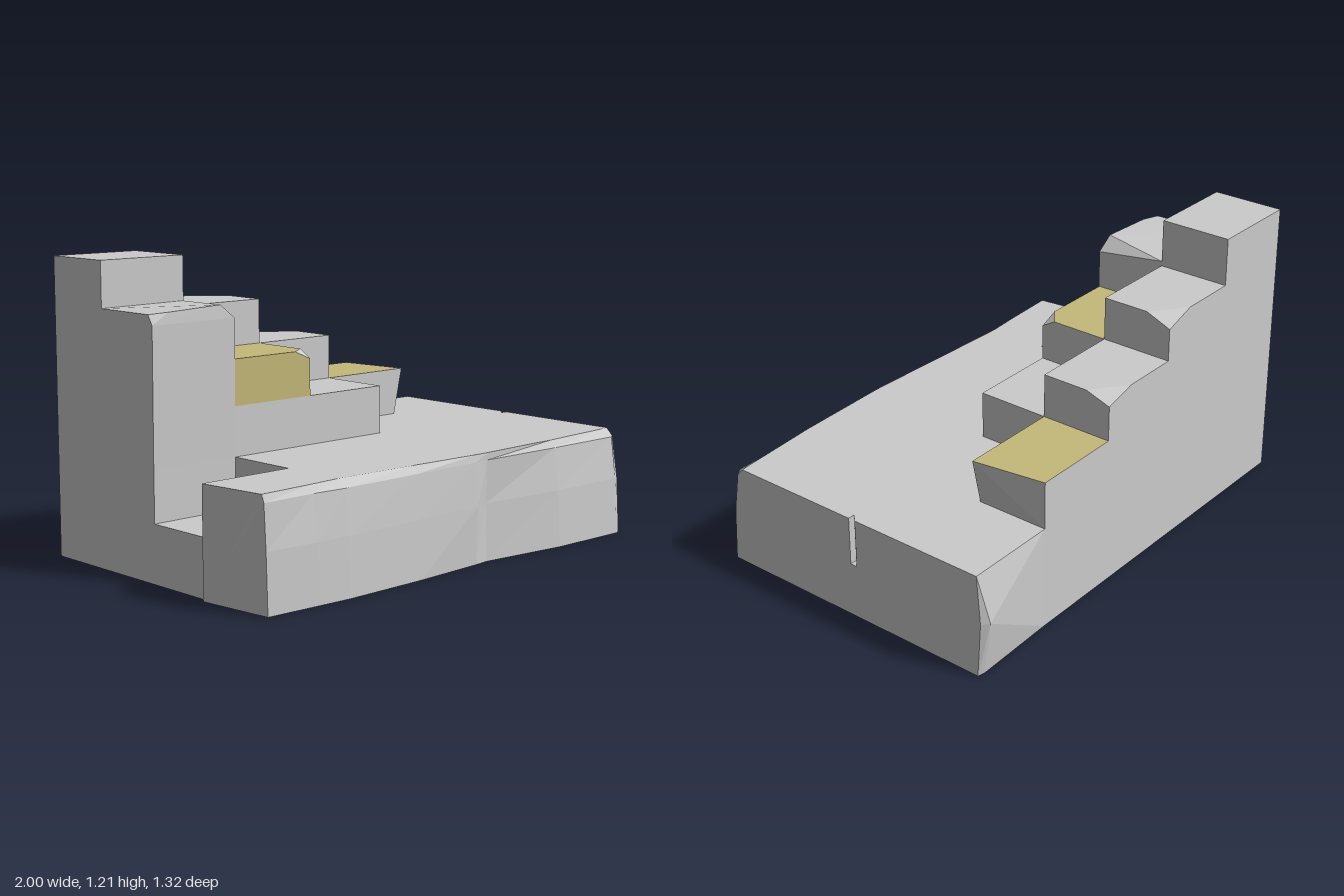
import * as THREE from 'three';
import { ConvexGeometry } from 'three/addons/geometries/ConvexGeometry.js';

const grey = new THREE.MeshStandardMaterial({ color: 0xcccccc, flatShading: true });
const yellow = new THREE.MeshStandardMaterial({ color: 0xc4b878, flatShading: true });
const V = (x, y, z) => new THREE.Vector3(x, y, z);

// Convex rock from points; faces whose normal passes the test are yellow
function rock(name, points, isYellow) {
  const geo = new ConvexGeometry(points);
  if (!isYellow) {
    const plain = new THREE.Mesh(geo, grey);
    plain.name = name;
    return plain;
  }
  const n = geo.attributes.normal;
  for (let i = 0; i < n.count; i += 3) {
    geo.addGroup(i, 3, isYellow(V(n.getX(i), n.getY(i), n.getZ(i))) ? 1 : 0);
  }
  const mesh = new THREE.Mesh(geo, [grey, yellow]);
  mesh.name = name;
  return mesh;
}

// Corners of a block; each cut { sx, sz, d } chips one top corner by d = [x, y, z]
function corners(x0, x1, y0, y1, z0, z1, cuts = []) {
  const pts = [];
  for (const sx of [-1, 1]) for (const sz of [-1, 1]) {
    const x = sx < 0 ? x0 : x1, z = sz < 0 ? z0 : z1;
    pts.push(V(x, y0, z));
    const cut = cuts.find((c) => c.sx === sx && c.sz === sz);
    if (cut) {
      const [dx, dy, dz] = cut.d;
      pts.push(V(x - sx * dx, y1, z), V(x, y1 - dy, z), V(x, y1, z - sz * dz));
    } else pts.push(V(x, y1, z));
  }
  return pts;
}

// Uneven front apron, lofted through cross-sections along x
function frontApron() {
  // x, then z at: bottom, middle, shoulder, top edge
  const columns = [
    [-0.965, 0.63, 0.622, 0.612, 0.60],
    [-0.73, 0.643, 0.635, 0.612, 0.59],
    [-0.58, 0.65, 0.64, 0.622, 0.58],
    [-0.2, 0.642, 0.632, 0.618, 0.595],
    [0.13, 0.622, 0.628, 0.616, 0.61],
    [0.2, 0.614, 0.605, 0.61, 0.61],
    [0.6, 0.655, 0.642, 0.62, 0.60],
    [0.97, 0.658, 0.645, 0.62, 0.575],
    [1, 0.645, 0.63, 0.60, 0.57],
  ];
  const back = 0.31;
  const loops = columns.map(([x, a, b, c, d], k) => {
    const bx = k === 0 ? -1 : x;
    return [V(bx, 0, back), V(x, 0, a), V(x, 0.235, b), V(x, 0.41, c), V(x, 0.44, d), V(bx, 0.44, back)];
  });
  // The strip behind the notch ends squarely at x = -0.58
  const pts = [], n = loops[0].length;
  for (let k = 0; k < loops.length - 1; k++) {
    for (let i = 0; i < n; i++) {
      const j = (i + 1) % n, A = loops[k], B = loops[k + 1];
      pts.push(A[i], B[i], B[j], A[i], B[j], A[j]);
    }
  }
  const first = loops[0], last = loops[loops.length - 1];
  for (let i = 1; i < n - 1; i++) {
    pts.push(first[0], first[i], first[i + 1], last[0], last[i + 1], last[i]);
  }
  const geo = new THREE.BufferGeometry().setFromPoints(pts);
  geo.computeVertexNormals();
  const mesh = new THREE.Mesh(geo, grey);
  mesh.name = 'frontApron';
  return mesh;
}

export function createModel() {
  const model = new THREE.Group();
  model.name = 'steppedRock';

  // Grid lines shared by the stepped blocks
  const X = [-0.98, -0.583, -0.188, 0.205, 0.6];
  const back = -0.623, mid = -0.312, base = 0.44, ledge = 0.235;

  // Base with a sunken notch on one side
  const foundation = new THREE.Group();
  foundation.name = 'foundation';
  foundation.add(
    rock('rearBase', corners(X[0], X[4], 0, base, back, 0)),
    rock('middleBase', corners(X[1], 1, 0, base, 0, 0.31)),
    rock('notchFloor', corners(X[0], X[1], 0, ledge, 0, 0.31)),
    // Bulging rear corner, in a lower and an upper half with a small slit
    rock('lowerBulge', [
      V(0.6, 0, 0), V(1, 0, 0), V(0.6, ledge, 0), V(1, ledge, 0),
      V(0.6, 0, back), V(0.6, ledge, back), V(1, 0, -0.625), V(1, ledge, -0.64),
      V(0.97, 0, -0.632), V(0.97, ledge, -0.663)]),
    rock('upperBulge', [
      V(0.6, ledge, 0), V(0.6, base, 0), V(0.97, ledge, 0), V(0.97, base, 0),
      V(1, ledge, -0.03), V(1, base, -0.03), V(0.6, ledge, back), V(0.6, base, back),
      V(1, base, back), V(1, ledge, -0.64), V(0.97, ledge, -0.663)]),
    frontApron());
  model.add(foundation);

  // Back row, stepping down from the tower
  const chip = (dy) => [{ sx: 1, sz: -1, d: [0.14, dy, 0.11] }];
  const backRow = new THREE.Group();
  backRow.name = 'backSteps';
  backRow.add(
    rock('tower', corners(X[0], X[1], base, 1.21, back, mid)),
    rock('highStep', corners(X[1], X[2], base, 1.008, back, mid, chip(0.045))),
    rock('middleStep', corners(X[2], X[3], base, 0.825, back, mid, chip(0.037))),
    // Lowest step leans outward and has a yellow top
    rock('lowStep', [
      V(X[3], base, back), V(X[3], base, mid), V(X[3], 0.64, back), V(X[3], 0.64, mid),
      V(X[4], base, back), V(X[4], base, mid), V(X[4], 0.64, back), V(0.645, 0.64, mid)],
      (n) => n.y > 0.99));
  model.add(backRow);

  // Front row, one level lower
  const frontRow = new THREE.Group();
  frontRow.name = 'frontSteps';
  frontRow.add(
    rock('frontTower', [
      V(X[0], base, mid), V(X[1], base, mid), V(X[0], base, 0), V(X[1], base, 0),
      V(X[0], 1.025, mid), V(X[1], 1.028, mid), V(X[0], 0.985, 0.004),
      V(X[0], 1.025, -0.02), V(-0.9, 1.03, 0), V(-0.65, 1.04, 0), V(X[1], 0.985, 0.004)]),
    // Yellow on top and front, with a chipped corner
    rock('yellowStepFoot', corners(X[1], X[2], base, 0.64, mid, 0)),
    rock('yellowStep', corners(X[1], X[2], 0.64, 0.825, mid, 0,
      [{ sx: 1, sz: 1, d: [0.08, 0.035, 0.06] }]), (n) => n.y > 0.99 || n.z > 0.99),
    rock('frontLowStep', corners(X[2], X[3], base, 0.64, mid, 0)));
  model.add(frontRow);

  return model;
}
